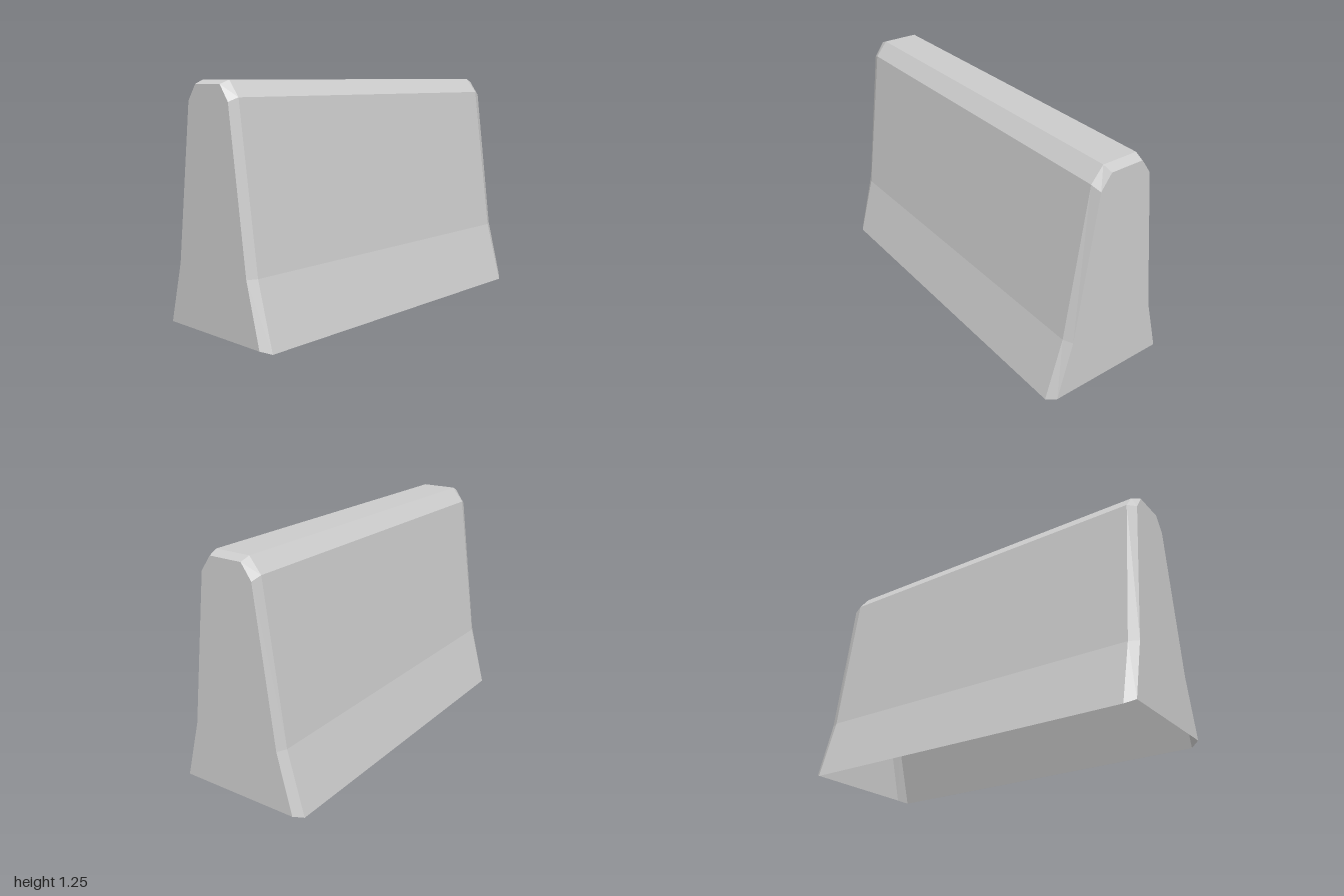
import * as THREE from 'three';

// Half profiles (x, y) from the foot up to the crown
const BODY = [[0.375, 0], [0.28, 0.34], [0.165, 1.17], [0.1, 1.25]];
const END = [[0.34, 0.02], [0.256, 0.34], [0.15, 1.15], [0.093, 1.23]];

// Mirror a half profile into a full section, right foot over the top to left foot
function section(half, z) {
  const right = half.map(([x, y]) => [x, y, z]);
  const left = half.map(([x, y]) => [-x, y, z]).reverse();
  return [...right, ...left];
}

function flatGeometry(quads) {
  const positions = [];
  for (const [a, b, c, d] of quads) positions.push(...a, ...b, ...c, ...a, ...c, ...d);
  const geometry = new THREE.BufferGeometry();
  geometry.setAttribute('position', new THREE.Float32BufferAttribute(positions, 3));
  geometry.computeVertexNormals();
  return geometry;
}

// Skin between two sections, open along the bottom
function skin(s, t) {
  const quads = [];
  for (let i = 0; i < s.length - 1; i++) quads.push([s[i], s[i + 1], t[i + 1], t[i]]);
  return flatGeometry(quads);
}

// Flat end wall filled in strips between mirrored points
function endWall(s, back) {
  const quads = [];
  for (let i = 0; i < 3; i++) {
    const q = [s[i], s[i + 1], s[6 - i], s[7 - i]];
    quads.push(back ? q.reverse() : q);
  }
  return flatGeometry(quads);
}

export function createModel() {
  const group = new THREE.Group();
  group.name = 'roadBarrier';
  const concrete = new THREE.MeshStandardMaterial({ color: 0xcccccc });
  concrete.name = 'concrete';
  concrete.side = THREE.DoubleSide;
  concrete.flatShading = true;

  const add = (name, geometry) => {
    const mesh = new THREE.Mesh(geometry, concrete);
    mesh.name = name;
    group.add(mesh);
  };

  const backEnd = section(END, -1);
  const backBody = section(BODY, -0.95);
  const frontBody = section(BODY, 0.95);
  const frontEnd = section(END, 1);

  // Long hollow body, bevelled rims and end walls
  add('body', skin(backBody, frontBody));
  add('frontBevel', skin(frontBody, frontEnd));
  add('backBevel', skin(backEnd, backBody));
  add('frontWall', endWall(frontEnd, false));
  add('backWall', endWall(backEnd, true));
  return group;
}
